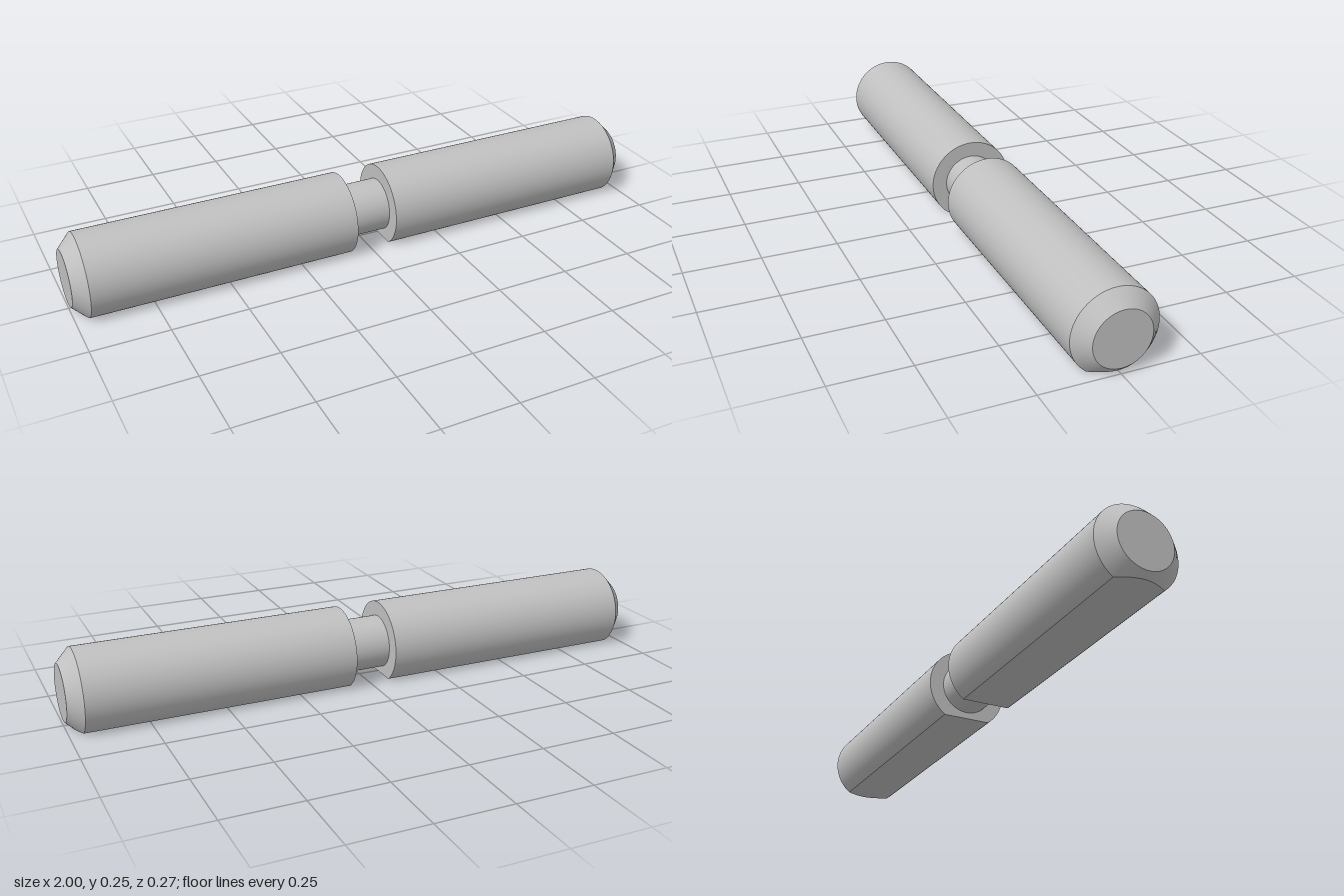
import * as THREE from 'three';

const R = 0.137;      // rod radius
const TIP = 0.092;    // radius of the end faces
const NECK = 0.088;   // groove radius
const AXIS = 0.11;    // axis height above the flat underside
const GROOVE = 0.07;  // half width of the groove
const BEVEL = 0.955;  // where the end bevel starts
const SEG = 96;

// half-angle of the circle removed by the flat
const cut = (r) => (r > AXIS ? Math.acos(AXIS / r) : 0);

// Skin through [x, radius] rings, each clipped by the flat underside
function clippedSkin(rings, slope) {
  const pos = [], nor = [], idx = [];
  const len = Math.hypot(1, slope);
  rings.forEach(([x, r], i) => {
    const a = cut(r);
    for (let j = 0; j <= SEG; j++) {
      const t = a + (2 * Math.PI - 2 * a) * (j / SEG);
      pos.push(x, -r * Math.cos(t), r * Math.sin(t));
      nor.push(slope / len, -Math.cos(t) / len, Math.sin(t) / len);
      if (i && j) {
        const d = i * (SEG + 1) + j, b = d - SEG - 1;
        idx.push(b - 1, d - 1, d, b - 1, d, b);
      }
    }
  });
  const g = new THREE.BufferGeometry();
  g.setAttribute('position', new THREE.Float32BufferAttribute(pos, 3));
  g.setAttribute('normal', new THREE.Float32BufferAttribute(nor, 3));
  g.setIndex(idx);
  return g;
}

export function createModel() {
  const steel = new THREE.MeshStandardMaterial({ color: 0xc0c0c0 });
  steel.name = 'steel grey';
  const model = new THREE.Group();
  model.name = 'groovedPin';

  const add = (parent, name, geometry) => {
    const m = new THREE.Mesh(geometry, steel);
    m.name = name;
    parent.add(m);
  };

  // bevel rings, with extra ones where the flat runs out
  const runOut = 1 - (AXIS - TIP) * (1 - BEVEL) / (R - TIP);
  const bevelRings = [];
  for (let i = 0; i <= 10; i++) {
    const k = 1 - (1 - i / 10) ** 2;
    bevelRings.push([BEVEL + (runOut - BEVEL) * k, R + (AXIS - R) * k]);
  }

  // flat underside outline: straight sides, curved at the bevel
  const edge = bevelRings.map(([x, r]) => [x, r * Math.sin(cut(r))]);
  const w = edge[0][1];
  const flat = new THREE.Shape([
    [GROOVE, -w], ...edge.map(([x, z]) => [x, -z]),
    ...edge.slice(0, -1).reverse(), [GROOVE, w],
  ].map(([x, z]) => new THREE.Vector2(x, z)));

  // shoulder: a circle with its bottom cut straight
  const a = cut(R);
  const shoulder = new THREE.Shape();
  shoulder.absarc(0, 0, R, -Math.PI / 2 + a, 1.5 * Math.PI - a, false);
  shoulder.closePath();

  const parts = [
    ['body', clippedSkin([[GROOVE, R], [BEVEL, R]], 0)],
    ['bevel', clippedSkin([...bevelRings, [1, TIP]], 1)],
    ['endFace', new THREE.CircleGeometry(TIP, SEG).rotateY(Math.PI / 2).translate(1, 0, 0)],
    ['shoulder', new THREE.ShapeGeometry(shoulder, SEG / 2).rotateY(-Math.PI / 2).translate(GROOVE, 0, 0)],
    ['flatUnderside', new THREE.ShapeGeometry(flat).rotateX(Math.PI / 2).translate(0, -AXIS, 0)],
  ];

  // two identical halves, turned back to back
  for (const [name, turn] of [['leftHalf', 0], ['rightHalf', Math.PI]]) {
    const half = new THREE.Group();
    half.name = name;
    half.position.y = AXIS;
    half.rotation.y = turn;
    parts.forEach(([n, g]) => add(half, n, g));
    model.add(half);
  }

  // thin neck joining the halves
  add(model, 'neck', new THREE.CylinderGeometry(NECK, NECK, 2 * GROOVE, SEG, 1, true)
    .rotateZ(Math.PI / 2).translate(0, AXIS, 0));

  return model;
}
